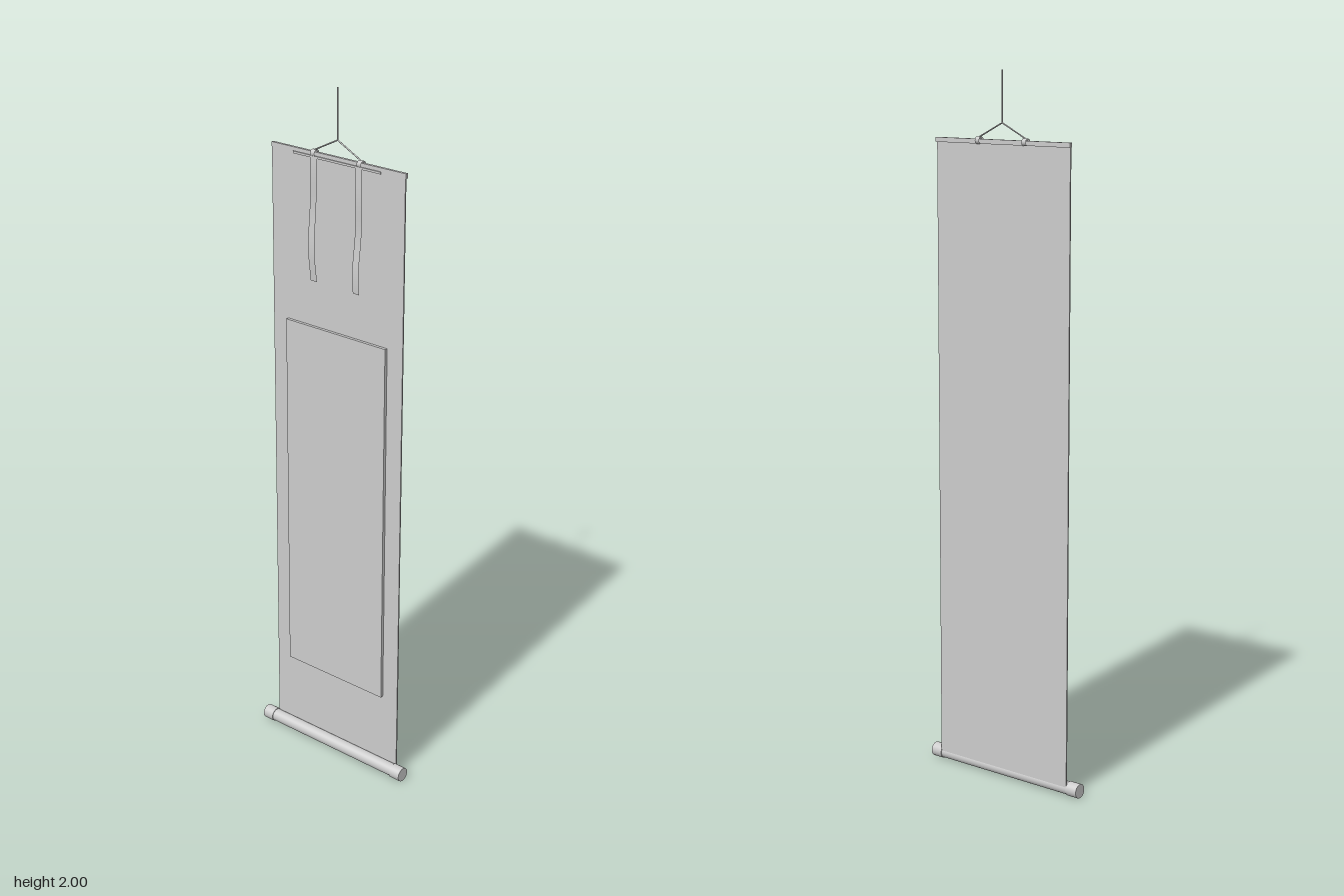
import * as THREE from 'three';

const grey = new THREE.MeshStandardMaterial({ color: 0xcccccc });
const greyThin = new THREE.MeshStandardMaterial({ color: 0xcccccc, side: THREE.DoubleSide });

export function createModel() {
  const model = new THREE.Group();
  model.name = 'hangingScroll';
  // The scroll is built facing +z, then turned as a whole
  model.rotation.y = -THREE.MathUtils.degToRad(63.9);

  const add = (name, geometry, x, y, z, material = grey) => {
    const mesh = new THREE.Mesh(geometry, material);
    mesh.name = name;
    mesh.position.set(x, y, z);
    model.add(mesh);
    return mesh;
  };
  const box = (name, w, h, d, x, y, z) => add(name, new THREE.BoxGeometry(w, h, d), x, y, z);
  const rod = (name, r, length, x, y, z) =>
    add(name, new THREE.CylinderGeometry(r, r, length, 32).rotateZ(Math.PI / 2), x, y, z);
  const cord = (name, a, b) => add(name, new THREE.TubeGeometry(
    new THREE.LineCurve3(new THREE.Vector3(...a), new THREE.Vector3(...b)), 1, 0.002, 8), 0, 0, 0);

  const back = -0.016; // depth of the hanging sheet, at the rear of the roller

  // Backing sheet, raised picture and top batten
  box('sheet', 0.458, 1.79, 0.004, 0, 0.92, back + 0.001);
  box('picture', 0.352, 1.08, 0.01, 0, 0.785, -0.009);
  box('topBatten', 0.462, 0.013, 0.008, 0, 1.8085, back - 0.001);
  box('frontStrip', 0.3, 0.006, 0.003, 0, 1.802, back + 0.006);

  // Bottom roller with slightly thicker end knobs
  rod('roller', 0.0185, 0.47, 0, 0.0205, 0);
  for (const s of [-1, 1]) rod('rollerKnob', 0.0205, 0.036, s * 0.2465, 0.0205, 0);

  // Hanging ribbons: flat strips with a gentle wave
  const ribbon = (phase) => {
    const g = new THREE.PlaneGeometry(0.022, 0.345, 1, 24);
    const p = g.attributes.position;
    for (let i = 0; i < p.count; i++) {
      const t = 0.5 - p.getY(i) / 0.345;
      p.setZ(i, 0.004 * t + 0.004 * Math.sin(t * 9 + phase) * Math.sqrt(t));
      p.setX(i, p.getX(i) + 0.003 * Math.sin(t * 6 + phase));
    }
    g.computeVertexNormals();
    return g;
  };

  const apex = [0, 1.86, back];
  for (const s of [-1, 1]) {
    add('ribbon', ribbon(s > 0 ? 0 : 1.2), s * 0.078, 1.63, back + 0.009, greyThin);
    // Loop around the batten that holds the cord
    add('hangerLoop', new THREE.CylinderGeometry(0.01, 0.01, 0.015, 16, 1, true).rotateZ(Math.PI / 2),
      s * 0.08, 1.811, back, greyThin);
    cord('hangerCord', [s * 0.08, 1.82, back], apex);
  }
  cord('wallCord', apex, [0, 2, back]);

  const root = new THREE.Group();
  root.name = 'scroll';
  root.add(model);
  return root;
}
